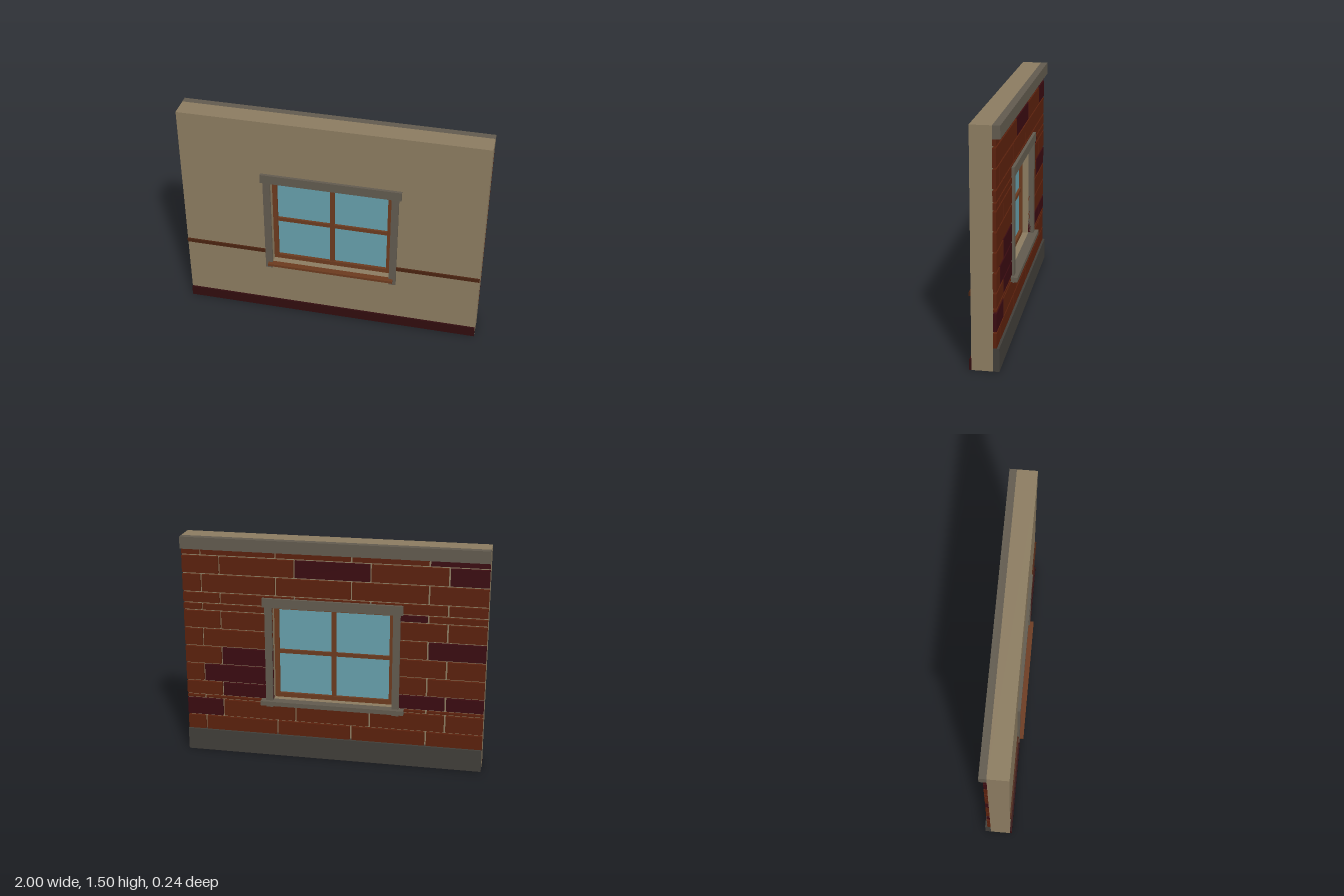
import * as THREE from 'three';

const mat = (name, color) => {
  const m = new THREE.MeshStandardMaterial({ color });
  m.name = name;
  return m;
};

export function createModel() {
  const plaster = mat('beige plaster', 0x8b7b60);
  const stone = mat('grey trim', 0x615a4e);
  const plinthStone = mat('dark grey plinth', 0x403d38);
  const wood = mat('window wood', 0x6b3a1e);
  const railWood = mat('dark rail wood', 0x4a2310);
  const skirtingPaint = mat('maroon skirting', 0x300c0e);
  const brickRed = mat('red brick', 0x5a200c);
  const brickDark = mat('dark brick', 0x3a0a10);
  const glass = mat('window glass', 0x669eaa);

  const model = new THREE.Group();
  model.name = 'wallWithWindow';

  // box given by its limits on each axis
  const box = (name, material, x0, x1, y0, y1, z0, z1, parent = model) => {
    const mesh = new THREE.Mesh(new THREE.BoxGeometry(x1 - x0, y1 - y0, z1 - z0), material);
    mesh.position.set((x0 + x1) / 2, (y0 + y1) / 2, (z0 + z1) / 2);
    mesh.name = name;
    parent.add(mesh);
    return mesh;
  };

  // flat panel with a rectangular hole; rectangles are [x0, x1, y0, y1]
  const panel = (name, material, outer, hole, z0, z1) => {
    const corners = ([x0, x1, y0, y1]) =>
      [[x0, y0], [x1, y0], [x1, y1], [x0, y1]].map(([x, y]) => new THREE.Vector2(x, y));
    const shape = new THREE.Shape(corners(outer));
    shape.holes.push(new THREE.Path(corners(hole).reverse()));
    const geo = new THREE.ExtrudeGeometry(shape, { depth: z1 - z0, bevelEnabled: false });
    const mesh = new THREE.Mesh(geo, material);
    mesh.position.z = z0;
    mesh.name = name;
    model.add(mesh);
  };

  const front = 0.077, back = -0.055;
  const opening = [-0.4, 0.4, 0.4, 1.05];

  // Wall core
  panel('wall', plaster, [-1, 1, 0, 1.5], opening, back, front);

  // Window: frame, glazing bars and pane
  panel('windowFrame', wood, opening, [-0.37, 0.37, 0.43, 1.02], -0.014, 0.034);
  box('verticalGlazingBar', wood, -0.015, 0.015, 0.43, 1.02, -0.01, 0.03);
  box('horizontalGlazingBar', wood, -0.37, 0.37, 0.712, 0.738, -0.009, 0.029);
  box('windowPane', glass, -0.37, 0.37, 0.43, 1.02, 0.006, 0.014);

  // Front trim, sill, rail and skirting
  box('frontLintel', stone, -0.463, 0.463, 1.05, 1.112, front, 0.096);
  box('frontSill', wood, -0.427, 0.427, 0.383, 0.4, front, 0.118);
  box('skirting', skirtingPaint, -1, 1, 0, 0.07, front, 0.09);

  // Back lintel, sill, cornice and plinth
  box('backLintel', stone, -0.463, 0.463, 1.05, 1.112, -0.096, back);
  box('backSill', stone, -0.48, 0.48, 0.37, 0.4, -0.118, back);
  box('cornice', stone, -1, 1, 1.42, 1.5, -0.102, back);
  box('plinth', plinthStone, -1, 1, 0, 0.15, -0.092, back);

  // Mirrored side trims and wall rail
  for (const s of [-1, 1]) {
    const span = (a, b) => (s > 0 ? [a, b] : [-b, -a]);
    box('frontSideTrim', stone, ...span(0.4, 0.447), 0.353, 1.05, front, 0.093);
    box('backSideTrim', stone, ...span(0.4, 0.447), 0.353, 1.05, -0.092, back);
    box('wallRail', railWood, ...span(0.447, 1), 0.473, 0.498, front, 0.088);
  }

  // Brick facing: alternating courses, cut around the opening
  const bricks = new THREE.Group();
  bricks.name = 'brickFacing';
  model.add(bricks);
  const courses = [0.15, 0.25, 0.375, 0.4, 0.5, 0.625, 0.75, 0.875, 1, 1.05, 1.125, 1.25, 1.375, 1.42];
  const bonds = [[-1, -0.625, -0.125, 0.375, 0.875, 1], [-1, -0.75, -0.25, 0.25, 0.75, 1]];
  // dark bricks as course number: brick numbers counted from -x
  const dark = { 1: [4], 3: [0, 1, 3], 4: [3], 5: [3], 6: [0], 8: [1], 11: [0, 2], 12: [0] };
  const gap = 0.006;
  for (let c = 0; c < courses.length - 1; c++) {
    const joints = bonds[c % 2];
    const y0 = courses[c] + (c > 0 ? gap : 0);
    const y1 = courses[c + 1] - (c < courses.length - 2 ? gap : 0);
    const cut = courses[c] >= 0.4 && courses[c + 1] <= 1.05;
    for (let i = 0; i < joints.length - 1; i++) {
      let x0 = joints[i] + (i > 0 ? gap : 0);
      let x1 = joints[i + 1] - (i < joints.length - 2 ? gap : 0);
      if (cut) {
        if (x0 < -0.4) x1 = Math.min(x1, -0.4);
        else if (x1 > 0.4) x0 = Math.max(x0, 0.4);
        else continue;
      }
      const isDark = dark[c] && dark[c].includes(i);
      box('brick', isDark ? brickDark : brickRed, x0, x1, y0, y1, -0.077, back, bricks);
    }
  }

  return model;
}
